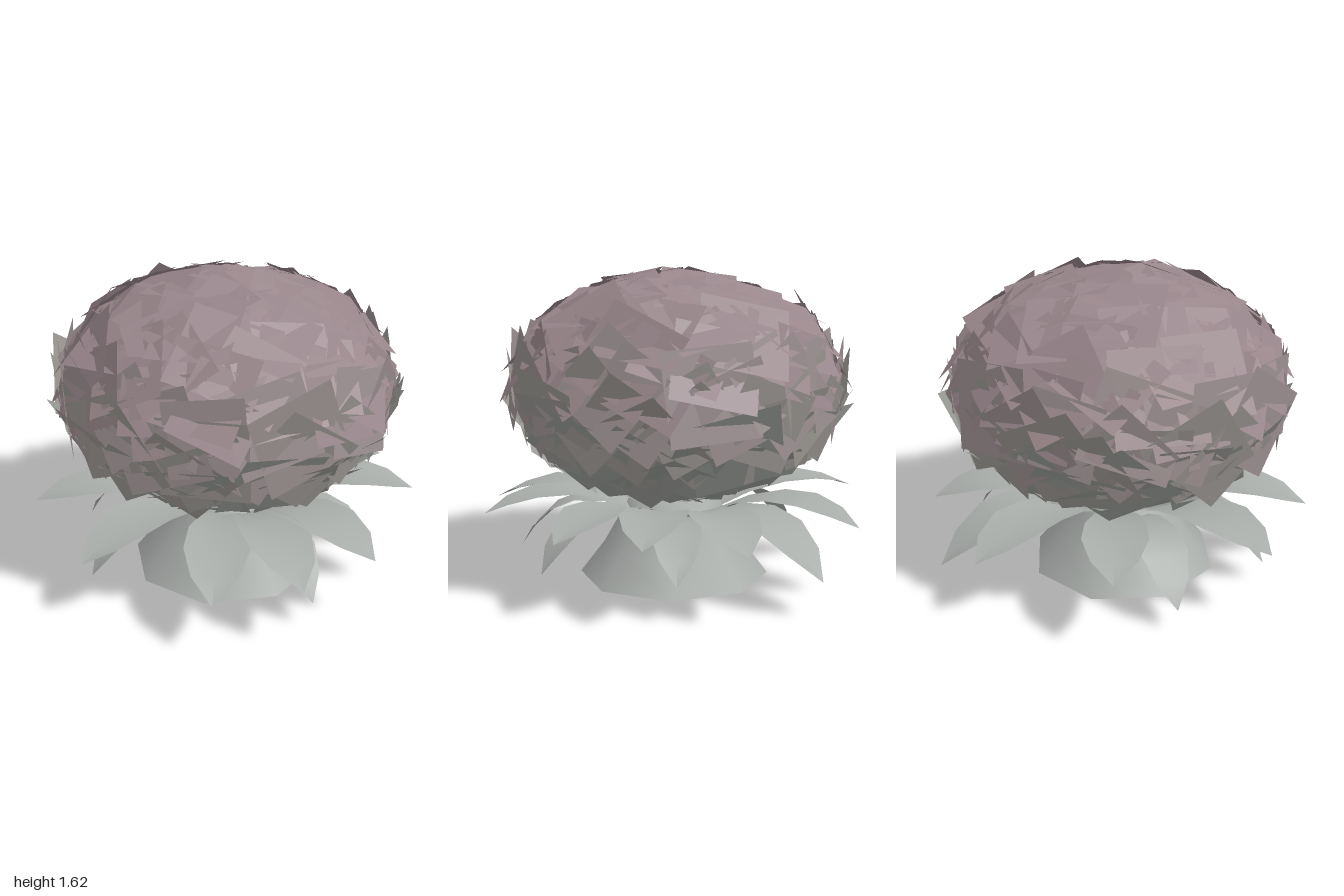
import * as THREE from 'three';
import { mergeGeometries } from 'three/addons/utils/BufferGeometryUtils.js';

// Small seeded generator, returns 0..1
function seeded(seed) {
  return () => {
    seed = (seed * 16807) % 2147483647;
    return seed / 2147483647;
  };
}

function material(color) {
  return new THREE.MeshStandardMaterial({ color, side: THREE.DoubleSide });
}

// Arched leaf along +x: a curved spine with a shallow fold and a pointed tip
function leafGeometry(reach, tipY, rootY, archY, width) {
  const spine = new THREE.QuadraticBezierCurve(
    new THREE.Vector2(0.2, rootY),
    new THREE.Vector2(0.6, archY),
    new THREE.Vector2(reach, tipY)
  );
  const rows = [[0, 0.07], [0.22, 0.11], [0.45, 0.15], [0.66, 0.16], [0.85, 0.11], [1, 0]];
  const positions = [];
  const index = [];
  rows.forEach(([t, profile], i) => {
    const p = spine.getPoint(t);
    const half = profile * width;
    for (const side of [-1, 0, 1]) {
      positions.push(p.x, p.y + Math.abs(side) * half * 0.15, side * half);
    }
    if (i === 0) return;
    for (let c = 0; c < 2; c++) {
      const a = (i - 1) * 3 + c;
      const b = a + 3;
      index.push(a, a + 1, b, a + 1, b + 1, b);
    }
  });
  const geometry = new THREE.BufferGeometry();
  geometry.setAttribute('position', new THREE.Float32BufferAttribute(positions, 3));
  geometry.setIndex(index);
  geometry.computeVertexNormals();
  return geometry;
}

export function createModel() {
  const model = new THREE.Group();
  model.name = 'bloomingPlant';
  const green = material(0xa9adaa);

  // Flared eight-sided stem, open underneath
  const profile = [[0.5, 0], [0.37, 0.17], [0.28, 0.33], [0.21, 0.46], [0, 0.5]]
    .map(([r, y]) => new THREE.Vector2(r, y));
  const stem = new THREE.Mesh(new THREE.LatheGeometry(profile, 8), green);
  stem.name = 'stem';
  stem.position.set(-0.01, 0, 0.025);
  model.add(stem);

  // Leaves: [angle from +x towards +z in degrees, reach, tip height]
  const upper = [
    [-13, 1.0, 0.39], [33, 1.0, 0.37], [58, 1.02, 0.36], [82, 1.01, 0.31],
    [122, 1.0, 0.36], [160, 1.02, 0.4], [207, 1.01, 0.42], [249, 1.0, 0.36],
    [270, 1.0, 0.18], [294, 0.99, 0.36], [322, 0.98, 0.4]
  ];
  const lower = [
    [9, 0.8, 0.13], [48, 0.83, 0.14], [137, 0.81, 0.11], [185, 0.81, 0.12], [313, 0.81, 0.18]
  ];
  const addLeaves = (name, list, rootY, archY, width) => {
    const tier = new THREE.Group();
    tier.name = name;
    for (const [degrees, reach, tipY] of list) {
      const leaf = new THREE.Mesh(leafGeometry(reach, tipY, rootY, archY, width), green);
      leaf.name = 'leaf';
      leaf.rotation.y = -THREE.MathUtils.degToRad(degrees);
      tier.add(leaf);
    }
    model.add(tier);
  };
  addLeaves('upperLeaves', upper, 0.35, 0.57, 1);
  addLeaves('lowerLeaves', lower, 0.33, 0.54, 0.75);

  // Blossom: large overlapping square petals laid over a flattened sphere
  const random = seeded(4711);
  const spread = (amount) => (random() * 2 - 1) * amount;
  const bands = [
    { name: 'lowerPetals', color: 0x9a9d98, top: 0.82, parts: [] },
    { name: 'middlePetals', color: 0x9c9894, top: 0.98, parts: [] },
    { name: 'blushPetals', color: 0x9b8f90, top: 1.12, parts: [] },
    { name: 'upperPetals', color: 0x98868b, top: Infinity, parts: [] }
  ];
  const count = 190;
  const radius = 0.82;
  const height = 0.55;
  const centreY = 1.02;
  const holder = new THREE.Object3D();
  for (let i = 0; i < count; i++) {
    const v = 1 - (2 * (i + 0.5)) / count;
    const ring = Math.sqrt(1 - v * v);
    const turn = i * 2.39996 + spread(0.1);
    const x = ring * Math.cos(turn);
    const z = ring * Math.sin(turn);
    const scale = 1 + spread(0.02);
    holder.position.set(x * radius * scale, centreY + v * height * scale, z * radius * scale);
    const normal = new THREE.Vector3(x / radius, v / height, z / radius);
    holder.lookAt(normal.add(holder.position));
    holder.rotateX(spread(0.1));
    holder.rotateY(spread(0.1));
    holder.rotateZ(random() * Math.PI);
    holder.updateMatrix();
    const size = 0.36 + random() * 0.09;
    const petal = new THREE.PlaneGeometry(size, size).applyMatrix4(holder.matrix);
    bands.find((band) => holder.position.y < band.top).parts.push(petal);
  }
  const blossom = new THREE.Group();
  blossom.name = 'blossom';
  for (const { name, color, parts } of bands) {
    const mesh = new THREE.Mesh(mergeGeometries(parts), material(color));
    mesh.name = name;
    blossom.add(mesh);
  }
  model.add(blossom);
  return model;
}
